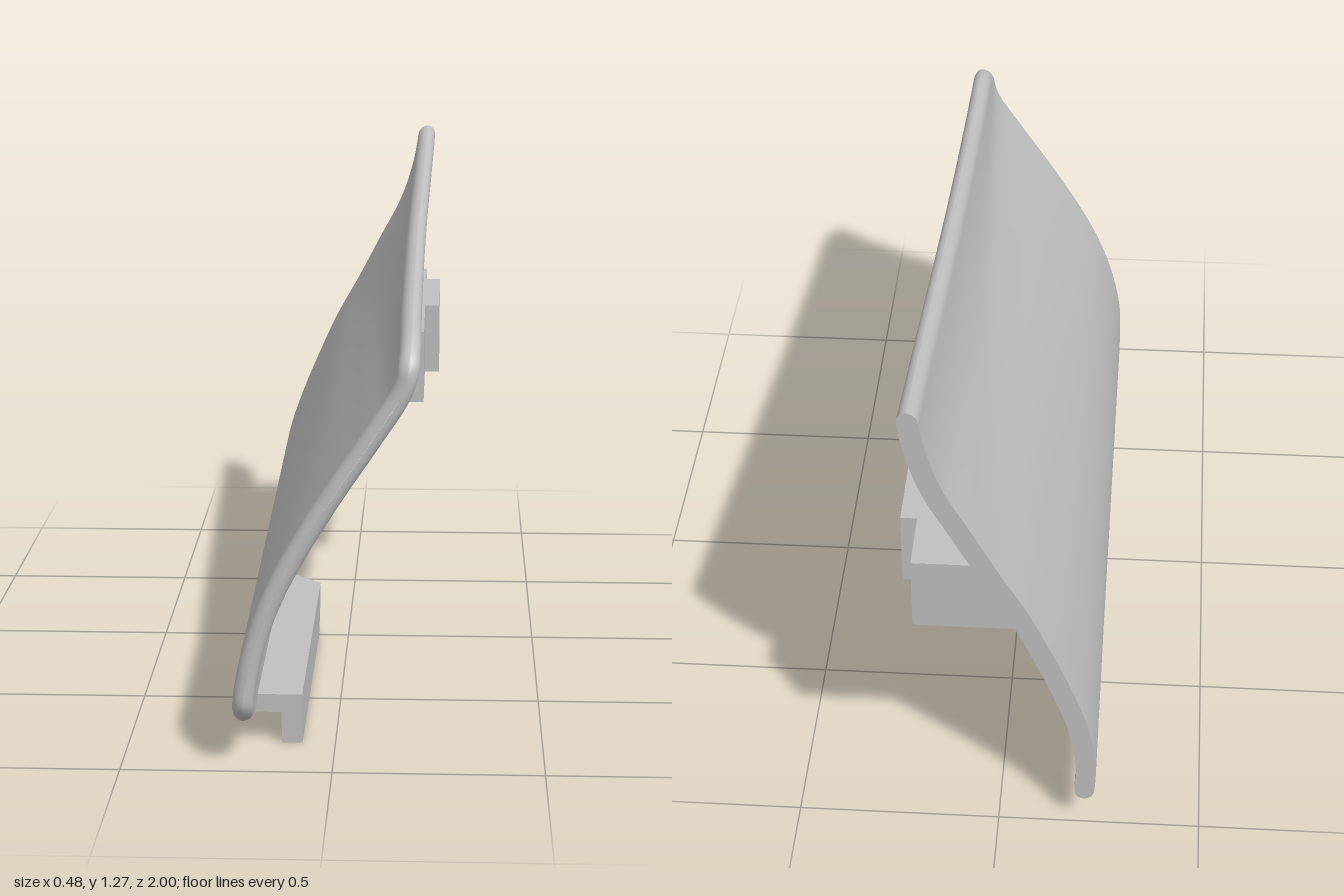
import * as THREE from 'three';

// Panel centre line: x at evenly spaced heights (0.08 to 1.28), front and back ends
const FRONT = [-0.215, -0.205, -0.177, -0.13, -0.065, 0.01, 0.09, 0.163, 0.182, 0.19, 0.2];
const BACK = [-0.212, -0.215, -0.195, -0.155, -0.105, -0.05, 0.017, 0.08, 0.143, 0.182, 0.2];
const toCurve = (xs) => new THREE.SplineCurve(xs.map((x, i) => new THREE.Vector2(x, 0.08 + 0.12 * i)));
const frontCurve = toCurve(FRONT), backCurve = toCurve(BACK);

function centreX(y, z) {
  const t = THREE.MathUtils.clamp((y - 0.08) / 1.2, 0, 1);
  return THREE.MathUtils.lerp(backCurve.getPoint(t).x, frontCurve.getPoint(t).x, (z + 1) / 2);
}

// Quarter-round inset at distance w from an edge
function inset(w, length, depth) {
  if (w >= length) return 0;
  return depth * (1 - Math.sqrt(1 - (1 - w / length) ** 2));
}

function panelGeometry() {
  const N = 48, positions = [], index = [];
  const depths = [0, 0.001, 0.004, 0.009, 0.016, 0.025, 0.04, 0.06, 0.09, 0.13, 0.18];
  for (let i = 1; i <= 20; i++) depths.push(0.18 + 1.82 * i / 20);
  const rows = depths.reverse();

  // Closed cross-section: up the outer side, down the inner side
  const section = (w) => {
    const z = 1 - w, out = [], back = [];
    const low = 0.08 + inset(w, 0.18, 0.09);
    const high = 1.15 - 0.12 * z - inset(w, 0.13, 0.08);
    const half = 0.025 - inset(w, 0.025, 0.025);
    for (let k = 0; k <= N; k++) {
      const y = low + (high - low) * (1 - Math.cos(Math.PI * k / N)) / 2;
      const edge = Math.min(y - low, high - y);
      const h = Math.max(half * (1 - inset(edge, 0.03, 1)), 0.0002);
      const x = centreX(y, z);
      const slope = (centreX(y + 0.01, z) - centreX(y - 0.01, z)) / 0.02;
      const fade = Math.min(edge / 0.03, 1);
      const nx = 1 / Math.hypot(1, slope), ny = -slope * nx * fade;
      out.push([x + nx * h, y + ny * h, z]);
      back.push([x - nx * h, y - ny * h, z]);
    }
    return [...out, ...back.reverse()];
  };

  const M = 2 * (N + 1);
  rows.forEach((w) => positions.push(...section(w).flat()));
  for (let i = 0; i < rows.length - 1; i++) {
    for (let j = 0; j < M; j++) {
      const a = i * M + j, b = i * M + (j + 1) % M;
      index.push(a, b, a + M, b, b + M, a + M);
    }
  }
  // Flat cut at the back, with its own vertices for a sharp edge
  const base = positions.length / 3;
  positions.push(...section(rows[0]).flat());
  for (let k = 0; k < N; k++) {
    const r = base + k, l = base + M - 1 - k;
    index.push(r, l, r + 1, l, l - 1, r + 1);
  }
  const g = new THREE.BufferGeometry();
  g.setAttribute('position', new THREE.Float32BufferAttribute(positions, 3));
  g.setIndex(index);
  g.computeVertexNormals();
  return g;
}

function extrude(points, depth) {
  const shape = new THREE.Shape(points.map(([x, y]) => new THREE.Vector2(x, y)));
  return new THREE.ExtrudeGeometry(shape, { depth, bevelEnabled: false });
}

export function createModel() {
  const group = new THREE.Group();
  const grey = new THREE.MeshStandardMaterial({ color: 0xc0c0c0 });
  grey.name = 'light grey';
  const add = (name, geometry) => {
    const mesh = new THREE.Mesh(geometry, grey);
    mesh.name = name;
    group.add(mesh);
  };

  add('curvedPanel', panelGeometry());

  // Upper mounting block, its inner side buried in the panel
  add('mountBlock', extrude([[-0.055, 0.64], [0.2, 0.64], [0.2, 0.832], [0.055, 0.832]], 0.93)
    .translate(0, 0, -1));
  add('mountPad', new THREE.BoxGeometry(0.04, 0.192, 0.4).translate(0.22, 0.736, -0.64));

  // Lower rail: flat flange with a slanted back end (drawn in x, -z)
  add('railFlange', extrude([[-0.21, -0.81], [-0.13, -0.81], [-0.13, 0.13], [-0.21, 0.21]], 0.045)
    .rotateX(-Math.PI / 2).translate(0, 0.078, 0));
  // The lip hanging from the flange (drawn in -z, y)
  add('railLip', extrude([[-0.81, 0], [0, 0], [0.08, 0.078], [0.08, 0.123], [-0.81, 0.123]], 0.05)
    .rotateY(Math.PI / 2).translate(-0.13, 0, 0));
  // Wedge that carries the slant out to the lip
  add('railWedge', extrude([[-0.13, 0.08], [-0.08, 0.08], [-0.13, 0.13]], 0.045)
    .rotateX(-Math.PI / 2).translate(0, 0.078, 0));

  return group;
}
